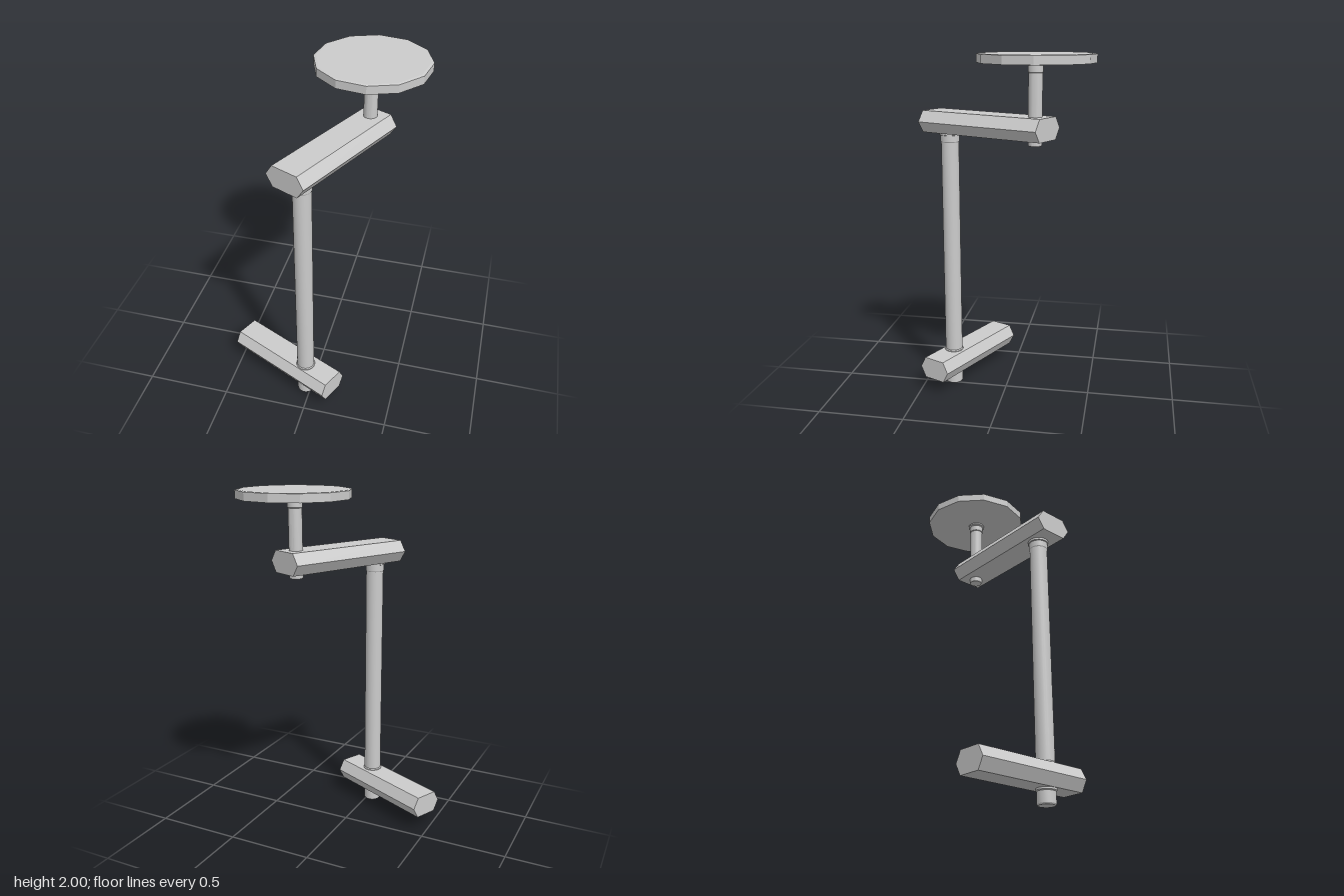
import * as THREE from 'three';
import { toCreasedNormals } from 'three/addons/utils/BufferGeometryUtils.js';

const DEG = Math.PI / 180;
const grey = new THREE.MeshStandardMaterial({ color: 0xcccccc });

// Solid of revolution from [radius, height] points, with sharp edges kept
function turned(name, points, sides, x, z, crease = 25) {
  const lathe = new THREE.LatheGeometry(points.map(([r, y]) => new THREE.Vector2(r, y)), sides);
  const mesh = new THREE.Mesh(toCreasedNormals(lathe, crease * DEG), grey);
  mesh.name = name;
  mesh.position.set(x, 0, z);
  return mesh;
}

// Six-sided beam: flat top and bottom, pointed flanks
function beam(name, { width, flat, bottom, top, length, x, z, turn }) {
  const w = width / 2, f = flat / 2, h = (top - bottom) / 2;
  const section = new THREE.Shape(
    [[-f, -h], [f, -h], [w, 0], [f, h], [-f, h], [-w, 0]].map(([a, b]) => new THREE.Vector2(a, b)));
  const geometry = new THREE.ExtrudeGeometry(section, { depth: length, bevelEnabled: false });
  geometry.translate(0, 0, -length / 2);
  const mesh = new THREE.Mesh(geometry, grey);
  mesh.name = name;
  mesh.position.set(x, (bottom + top) / 2, z);
  mesh.rotation.y = turn * DEG;
  return mesh;
}

export function createModel() {
  const model = new THREE.Group();
  model.name = 'jointedStand';

  // Two arms at right angles to each other
  model.add(
    beam('lowerArm', { width: 0.203, flat: 0.135, bottom: 0.085, top: 0.212, length: 0.70,
      x: -0.161, z: 0.263, turn: 65.5 }),
    beam('upperArm', { width: 0.243, flat: 0.16, bottom: 1.55, top: 1.673, length: 0.784,
      x: 0.078, z: 0.093, turn: -24.4 }));

  // Tall post through the lower arm, with collars at both joints
  model.add(turned('mainPost', [
    [0, 0], [0.046, 0], [0.051, 0.008], [0.051, 0.07], [0.056, 0.075], [0.056, 0.21],
    [0.056, 0.216], [0.051, 0.222], [0.051, 1.495], [0.054, 1.5], [0.054, 1.535],
    [0.06, 1.537], [0.06, 1.56], [0, 1.56],
  ], 24, -0.03, 0.331));

  // Short post through the upper arm, with a collar under the disc
  model.add(turned('upperPost', [
    [0, 1.52], [0.035, 1.52], [0.038, 1.526], [0.038, 1.9], [0.041, 1.904], [0.041, 1.938],
    [0.05, 1.943], [0.05, 1.955], [0, 1.955],
  ], 24, 0.207, -0.193));

  // Twelve-sided disc with a slight top chamfer
  const disc = turned('topDisc', [
    [0, 1.952], [0.312, 1.952], [0.312, 1.997], [0.298, 2], [0, 2],
  ], 12, 0.209, -0.197, 10);
  disc.rotation.y = 5.4 * DEG;
  model.add(disc);

  return model;
}
